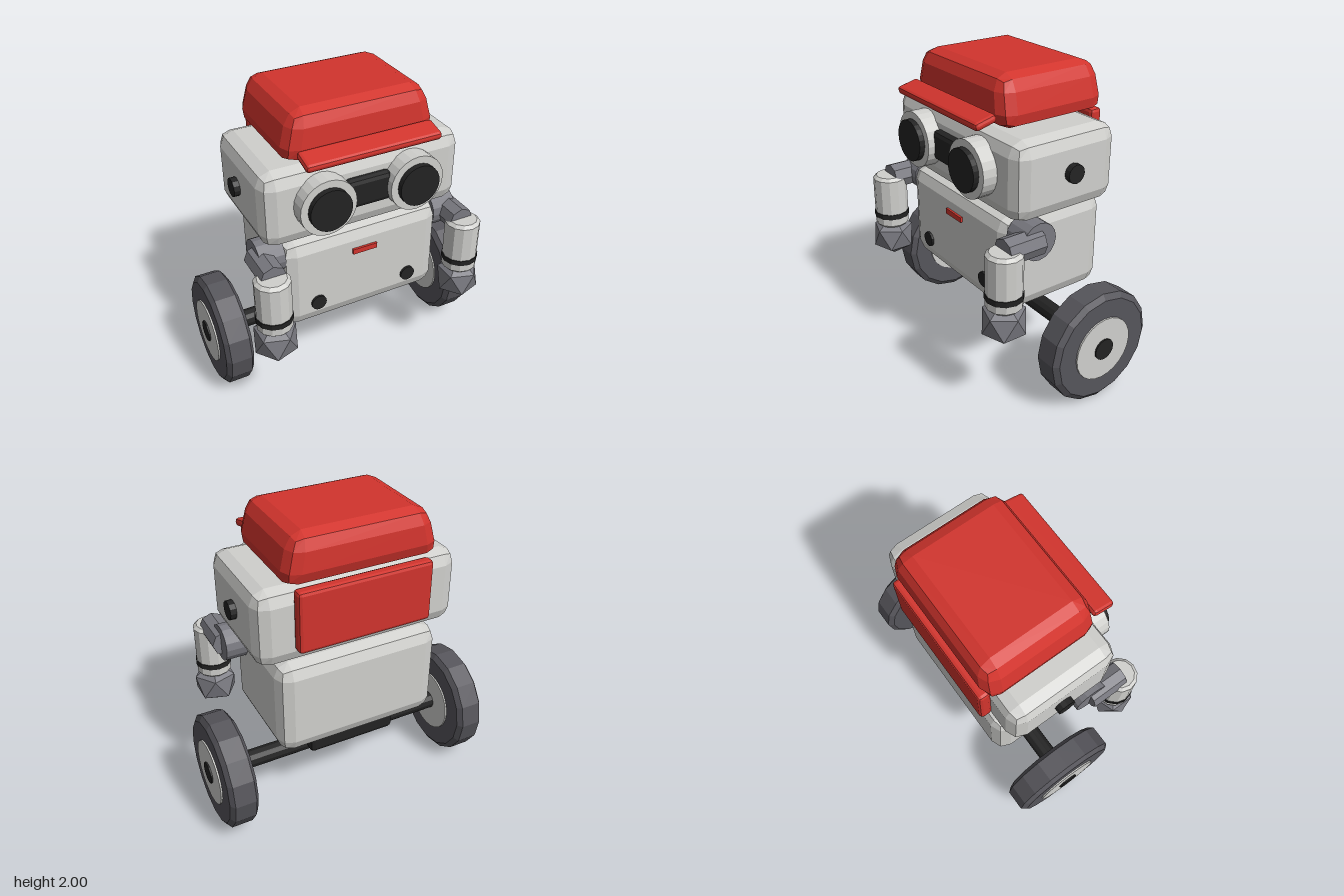
import * as THREE from 'three';
import { RoundedBoxGeometry } from 'three/addons/geometries/RoundedBoxGeometry.js';

const paint = (name, color) => {
  const m = new THREE.MeshStandardMaterial({ color });
  m.name = name;
  return m;
};

// Faceted normals for the low-poly look
const facet = (g) => {
  const flat = g.index ? g.toNonIndexed() : g;
  flat.computeVertexNormals();
  return flat;
};

// Box with two-step bevelled edges
const bevelBox = (w, h, d, r) => facet(new RoundedBoxGeometry(w, h, d, 1, r));

// Turned part; profile is [radius, height] from bottom to top
const turned = (profile, sides) =>
  facet(new THREE.LatheGeometry(profile.map(([r, y]) => new THREE.Vector2(r, y)), sides));

const rod = (r, length, sides) => facet(new THREE.CylinderGeometry(r, r, length, sides));
const alongX = (g) => g.rotateZ(-Math.PI / 2);
const alongZ = (g) => g.rotateX(Math.PI / 2);

export function createModel() {
  const model = new THREE.Group();
  model.name = 'robot';

  const shell = paint('light grey shell', 0xd0d0cd);
  const red = paint('red', 0xd2342d);
  const black = paint('black', 0x232323);
  const rubber = paint('dark grey rubber', 0x56555b);
  const joint = paint('mid grey joint', 0x7a7a81);

  const add = (name, geometry, material, x, y, z, parent = model) => {
    const mesh = new THREE.Mesh(geometry, material);
    mesh.name = name;
    mesh.position.set(x, y, z);
    parent.add(mesh);
    return mesh;
  };

  // Body and head
  add('body', bevelBox(1.08, 0.63, 0.74, 0.09), shell, 0, 0.875, -0.07);
  add('head', bevelBox(1.31, 0.485, 0.725, 0.09), shell, 0, 1.443, -0.05);

  // Cap, narrowing towards the top
  const cap = new RoundedBoxGeometry(0.98, 0.3, 0.73, 1, 0.09);
  const p = cap.attributes.position;
  for (let i = 0; i < p.count; i++) {
    const t = p.getY(i) / 0.3 + 0.5;
    p.setX(i, p.getX(i) * (1.03 - 0.16 * t));
    p.setZ(i, p.getZ(i) * (1.02 - 0.07 * t));
  }
  add('cap', facet(cap), red, 0, 1.85, -0.09);
  add('capPeak', bevelBox(0.86, 0.05, 0.145, 0.02), red, 0, 1.765, 0.355).rotation.x = 0.25;
  add('backPanel', bevelBox(0.86, 0.39, 0.08, 0.022), red, 0, 1.5, -0.445);

  // Face and chest details
  add('faceBridge', bevelBox(0.3, 0.19, 0.12, 0.03), black, 0, 1.465, 0.3);
  add('mouth', new THREE.BoxGeometry(0.165, 0.035, 0.03), red, 0, 1.028, 0.3);

  // Undercarriage
  add('chassis', bevelBox(0.6, 0.2, 0.44, 0.03), black, 0, 0.52, -0.12);
  add('axle', alongX(rod(0.06, 1.82, 12)), black, 0, 0.37, -0.15);

  for (const s of [1, -1]) {
    const side = s > 0 ? 'left' : 'right';

    // Eyes, ears and chest buttons
    add(side + 'EyeRing', alongZ(rod(0.178, 0.14, 24)), shell, s * 0.29, 1.463, 0.335);
    add(side + 'EyeLens', alongZ(rod(0.132, 0.1, 24)), black, s * 0.29, 1.463, 0.39);
    add(side + 'Ear', alongX(rod(0.058, 0.08, 12)), black, s * 0.653, 1.453, -0.075);
    add(side + 'Button', alongZ(rod(0.05, 0.03, 16)), black, s * 0.32, 0.72, 0.3);

    // Wheel
    const wheel = new THREE.Group();
    wheel.name = side + 'Wheel';
    wheel.position.set(s * 0.823, 0.37, -0.15);
    model.add(wheel);
    const tyre = [[0.2, -0.093], [0.335, -0.093], [0.37, -0.068], [0.37, 0.068], [0.335, 0.093], [0.2, 0.093]];
    add('tyre', alongX(turned(tyre, 16)), rubber, 0, 0, 0, wheel);
    add('hub', alongX(rod(0.21, 0.206, 24)), shell, 0, 0, 0, wheel);
    add('hubCap', alongX(rod(0.07, 0.03, 16)), black, s * 0.098, 0, 0, wheel);

    // Arm: shoulder disc, forward link, forearm, band and hand
    const arm = new THREE.Group();
    arm.name = side + 'Arm';
    model.add(arm);
    add('shoulder', alongX(rod(0.118, 0.16, 16)), joint, s * 0.595, 1.09, 0.165, arm);
    add('upperArm', alongZ(rod(0.085, 0.25, 8)), joint, s * 0.645, 1.085, 0.275, arm);
    const sleeve = [[0, -0.183], [0.09, -0.183], [0.112, -0.163], [0.112, 0.163], [0.09, 0.183], [0, 0.183]];
    add('forearm', turned(sleeve, 12), shell, s * 0.658, 0.918, 0.4, arm);
    add('wristBand', rod(0.117, 0.035, 12), black, s * 0.658, 0.822, 0.4, arm);
    const hand = facet(new THREE.IcosahedronGeometry(0.15, 0));
    hand.rotateZ(-Math.atan(2 / (1 + Math.sqrt(5))));
    add('hand', hand, joint, s * 0.658, 0.645, 0.4, arm);
  }
  return model;
}
